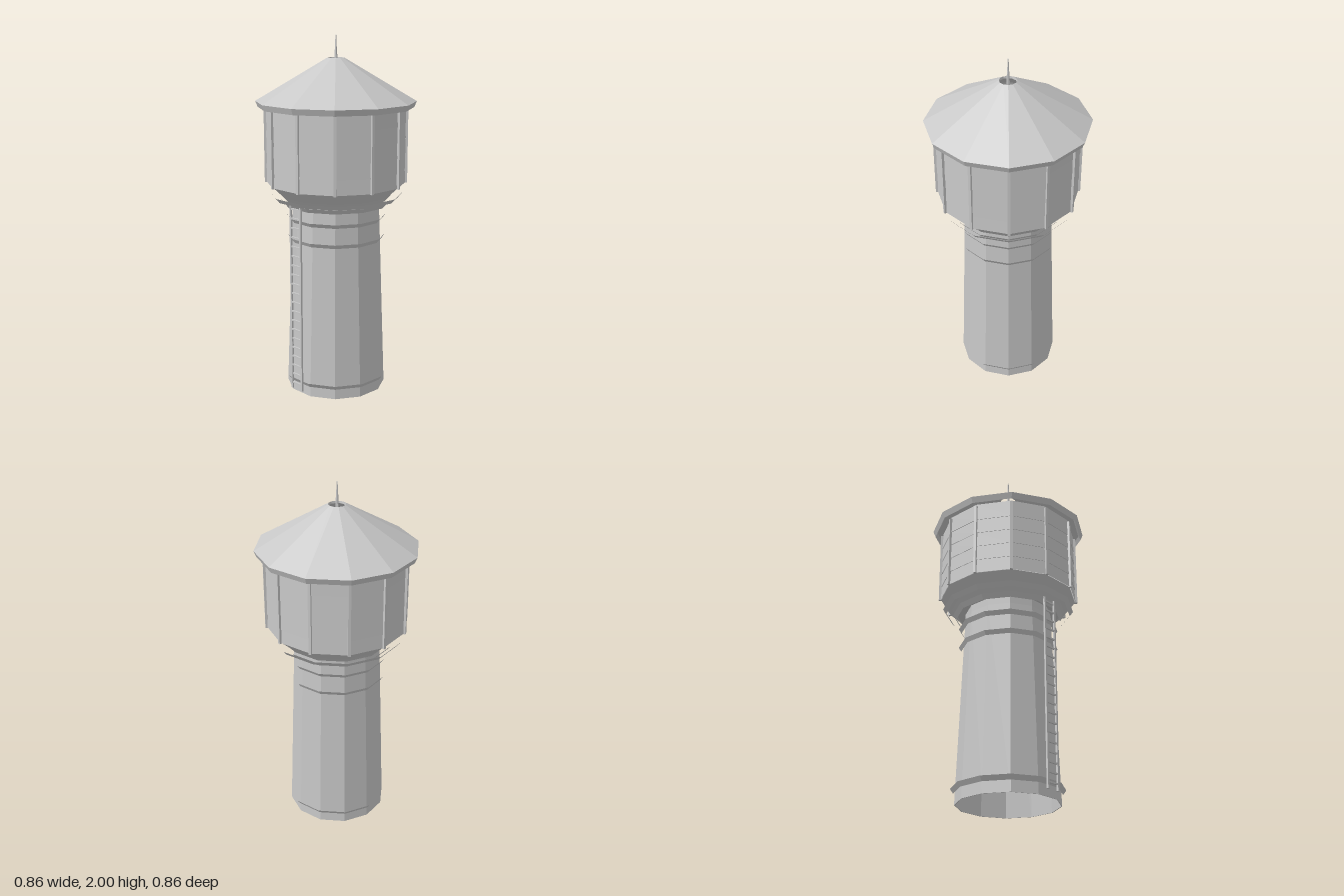
import * as THREE from 'three';

const SIDES = 12;
const TURN = Math.PI / SIDES; // puts a flat side to the front
const metal = new THREE.MeshStandardMaterial({ color: 0xc8c8c8, flatShading: true });
metal.name = 'lightGrey';

function add(parent, name, geometry, x = 0, y = 0, z = 0) {
  const mesh = new THREE.Mesh(geometry, metal);
  mesh.name = name;
  mesh.position.set(x, y, z);
  parent.add(mesh);
  return mesh;
}

// Twelve-sided surface from [half width, height] points; rising points face outward
function shell(points) {
  const profile = points.map(([w, y]) => new THREE.Vector2(w / Math.cos(TURN), y));
  return new THREE.LatheGeometry(profile, SIDES, TURN);
}

export function createModel() {
  const tower = new THREE.Group();
  tower.name = 'waterTower';

  // Tapered shaft, hollow and open below
  add(tower, 'shaft', shell([
    [0.272, 0], [0.235, 1.06], [0.235, 1.13],
    [0.231, 1.13], [0.231, 1.06], [0.268, 0], [0.272, 0],
  ]));

  // Flared hoops around the shaft and under the tank
  const hoops = [
    [0.278, 0.06, 0.295, 0.085],
    [0.254, 0.87, 0.268, 0.893],
    [0.254, 0.983, 0.27, 1.006],
    [0.285, 1.07, 0.304, 1.095],
    [0.34, 1.105, 0.36, 1.13],
  ];
  for (const [r0, y0, r1, y1] of hoops) add(tower, 'hoop', shell([[r0, y0], [r1, y1]]));

  // Sloping tank underside joined to the shaft
  add(tower, 'tankBase', shell([[0.235, 1.1], [0.285, 1.1], [0.31, 1.13], [0.372, 1.19]]));

  // Tank wall of five shallow overlapping boards, with an inner face
  const wall = [];
  const seams = [1.19, 1.27, 1.355, 1.44, 1.525, 1.625];
  for (let i = 0; i < 5; i++) wall.push([0.376, seams[i]], [0.373, seams[i + 1]]);
  wall.push([0.368, 1.625], [0.368, 1.19]);
  add(tower, 'tankWall', shell(wall));

  // Corner posts of the tank
  for (let i = 0; i < SIDES; i++) {
    const a = TURN + i * 2 * TURN;
    const post = add(tower, 'cornerPost', new THREE.BoxGeometry(0.015, 0.425, 0.02),
      0.389 * Math.sin(a), 1.4, 0.389 * Math.cos(a));
    post.rotation.y = a;
  }

  // Roof with eave band, underside and open top
  add(tower, 'roof', shell([
    [0.417, 1.61], [0.43, 1.643], [0.046, 1.878], [0.044, 1.866], [0.405, 1.635], [0.417, 1.61],
  ]));

  // Mast
  add(tower, 'mastBase', new THREE.CylinderGeometry(0.006, 0.01, 0.08, 6), 0, 1.89, 0);
  add(tower, 'mastTip', new THREE.CylinderGeometry(0.003, 0.005, 0.07, 6), 0, 1.965, 0);

  // Front ladder
  const ladder = new THREE.Group();
  ladder.name = 'ladder';
  for (const side of [-1, 1]) {
    add(ladder, 'rail', new THREE.BoxGeometry(0.011, 1.07, 0.011), side * 0.039, 0.565, 0.305);
  }
  for (let i = 0; i < 20; i++) {
    add(ladder, 'rung', new THREE.BoxGeometry(0.07, 0.009, 0.009), 0, 0.065 + i * 0.0533, 0.305);
  }
  tower.add(ladder);

  return tower;
}
